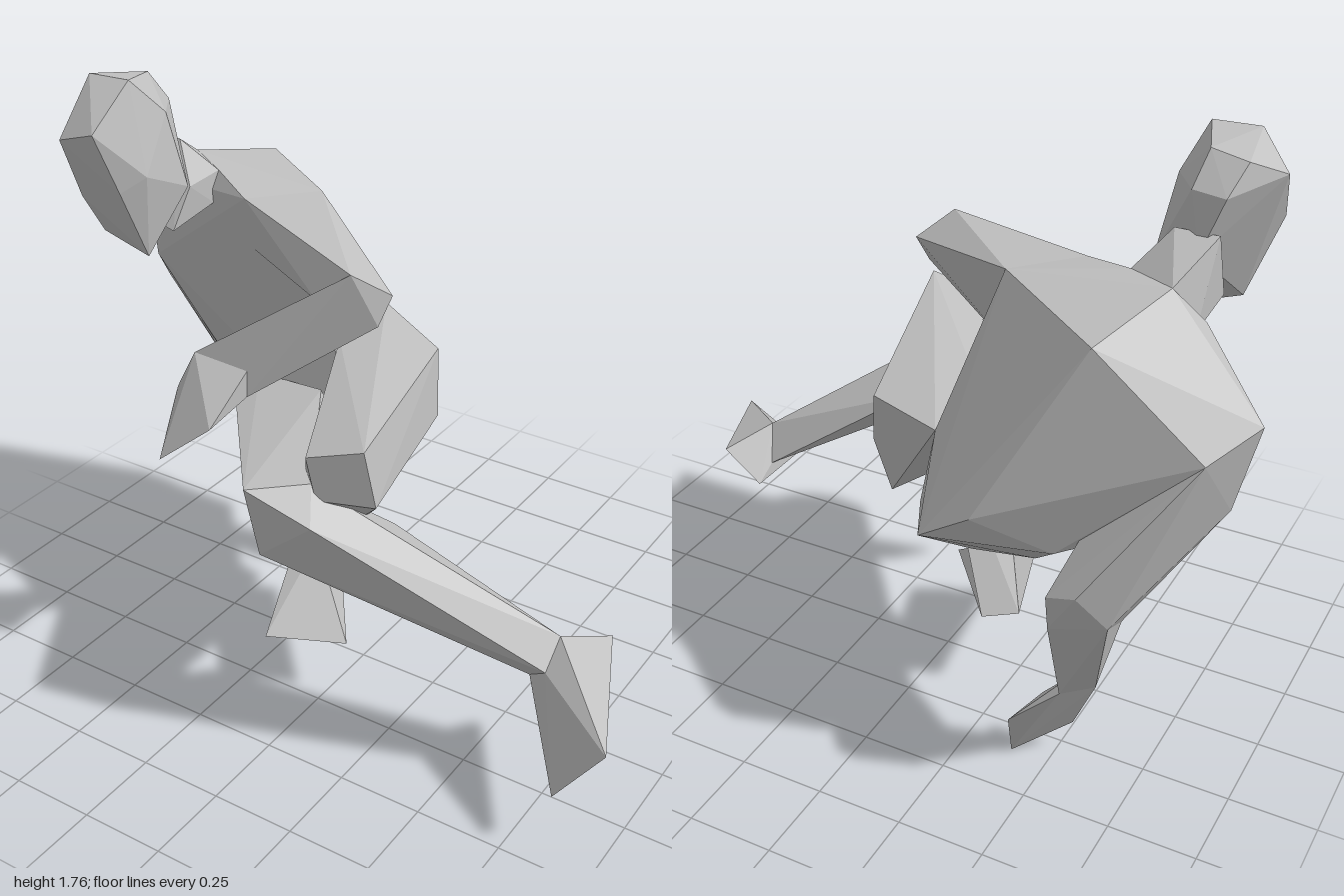
import * as THREE from 'three';
import { ConvexGeometry } from 'three/addons/geometries/ConvexGeometry.js';

const clay = new THREE.MeshStandardMaterial({ color: 0xc0c0c0 });
clay.name = 'clay grey';

// Joint cross-sections, shared by the faceted parts on either side of them
const neckBase = [[-0.71, 1.45, -0.19], [-0.57, 1.44, -0.11], [-0.57, 1.35, -0.08], [-0.76, 1.32, -0.14]];
const rightShoulder = [[-1, 1.2, -0.3], [-0.91, 1.14, -0.44], [-0.94, 0.95, -0.3], [-0.88, 1.08, -0.18], [-0.72, 0.92, -0.19], [-0.64, 0.92, -0.46]];
const rightElbow = [[-0.72, 0.65, -0.51], [-0.65, 0.75, -0.56], [-0.57, 0.73, -0.56], [-0.58, 0.7, -0.38], [-0.7, 0.57, -0.36], [-0.57, 0.62, -0.54]];
const rightWrist = [[-0.63, 0.31, -0.34], [-0.55, 0.3, -0.4], [-0.55, 0.3, -0.31]];
const leftShoulder = [[-0.42, 1.41, -0.03], [-0.27, 1.41, -0.2], [-0.42, 1.25, -0.06], [-0.17, 1.19, -0.03], [-0.24, 1.13, -0.1]];
const leftElbow = [[0.07, 1.37, 0.17], [0.15, 1.3, 0.09], [0.13, 1.22, 0.13], [-0.04, 1.27, 0.17]];
const leftWrist = [[-0.35, 1.09, 0.31], [-0.2, 1.06, 0.27], [-0.2, 0.98, 0.28], [-0.4, 0.98, 0.33]];
const waist = [[-0.62, 0.75, -0.2], [-0.4, 0.82, -0.12], [-0.2, 1.03, -0.14], [-0.17, 1.01, -0.39], [-0.21, 0.8, -0.56], [-0.36, 0.9, -0.57], [-0.56, 0.82, -0.5]];
const rightHip = [[-0.62, 0.75, -0.2], [-0.4, 0.6, -0.13], [-0.26, 0.58, 0.03], [-0.41, 0.81, -0.05], [-0.18, 0.86, -0.05], [-0.02, 0.65, -0.02]];
const rightKnee = [[0, 0.9, 0.57], [0.13, 0.9, 0.45], [0.03, 0.7, 0.55], [0.18, 0.82, 0.53], [0.12, 0.68, 0.38]];
const rightAnkle = [[0.74, 0.49, 0.18], [0.74, 0.42, 0.26], [0.68, 0.37, 0.23], [0.71, 0.38, 0.12]];
const leftHip = [[-0.17, 1.01, -0.39], [0.09, 0.98, -0.26], [0.13, 0.8, -0.2], [0.05, 0.68, -0.24], [-0.16, 1, -0.12], [-0.08, 0.72, -0.05]];
const leftKnee = [[0.28, 1.03, 0.43], [0.31, 0.87, 0.42], [0.12, 0.98, 0.46], [0.15, 0.86, 0.46]];
const leftAnkle = [[-0.23, 0.43, -0.03], [-0.14, 0.39, 0.04], [-0.3, 0.3, -0.13], [-0.2, 0.28, -0.17]];

const parts = {
  head: [
    // crown
    [-0.79, 1.76, 0.16], [-0.66, 1.76, 0.15], [-0.81, 1.72, 0.01], [-0.71, 1.74, 0.01],
    // brow, temples and back of the skull
    [-0.81, 1.6, 0.28], [-0.68, 1.64, 0.29], [-0.89, 1.68, 0.08], [-0.87, 1.54, 0.16],
    [-0.62, 1.65, 0.05], [-0.6, 1.5, 0.17], [-0.78, 1.64, -0.05], [-0.69, 1.65, -0.05], [-0.72, 1.48, -0.05],
    // cheeks and jaw
    [-0.8, 1.42, 0.22], [-0.65, 1.46, 0.23], [-0.58, 1.43, 0.02], [-0.78, 1.3, 0.16], [-0.63, 1.25, 0.15],
  ],
  neck: [...neckBase, [-0.77, 1.54, -0.04], [-0.65, 1.54, -0.04], [-0.59, 1.42, 0], [-0.61, 1.3, 0.06], [-0.76, 1.34, 0.06]],
  chest: [...rightShoulder, ...neckBase, ...leftShoulder, ...waist, [-0.62, 1.39, -0.46], [-0.79, 1.36, -0.15]],
  pelvis: [...waist, [-0.4, 0.6, -0.25], [-0.18, 0.53, -0.2], [-0.04, 0.67, -0.24], [-0.05, 0.66, 0]],

  rightUpperArm: [...rightShoulder, ...rightElbow],
  rightForearm: [...rightElbow, ...rightWrist],
  rightHand: [...rightWrist, [-0.54, 0.1, -0.27], [-0.41, 0.17, -0.42], [-0.45, 0.18, -0.28], [-0.39, 0, -0.35]],

  leftUpperArm: [...leftShoulder, ...leftElbow],
  leftForearm: [...leftElbow, ...leftWrist],
  leftHand: [...leftWrist, [-0.39, 0.8, 0.44], [-0.24, 0.92, 0.4], [-0.41, 0.95, 0.33]],

  rightThigh: [...rightHip, ...rightKnee],
  rightShin: [...rightKnee, ...rightAnkle, [0.25, 0.7, 0.23]],
  rightFoot: [...rightAnkle, [0.83, 0.44, 0.04], [0.72, 0.33, 0.06], [1, 0.38, 0.43], [0.86, 0.18, 0.43]],

  leftThigh: [...leftHip, ...leftKnee],
  leftShin: [...leftKnee, ...leftAnkle, [0.1, 0.75, 0.13]],
  leftFoot: [...leftAnkle, [-0.15, 0.2, 0.3], [0.07, 0.2, 0.2]],
};

export function createModel() {
  const figure = new THREE.Group();
  figure.name = 'crouchingFigure';
  for (const [name, points] of Object.entries(parts)) {
    const mesh = new THREE.Mesh(new ConvexGeometry(points.map((p) => new THREE.Vector3(...p))), clay);
    mesh.name = name;
    figure.add(mesh);
  }
  return figure;
}
